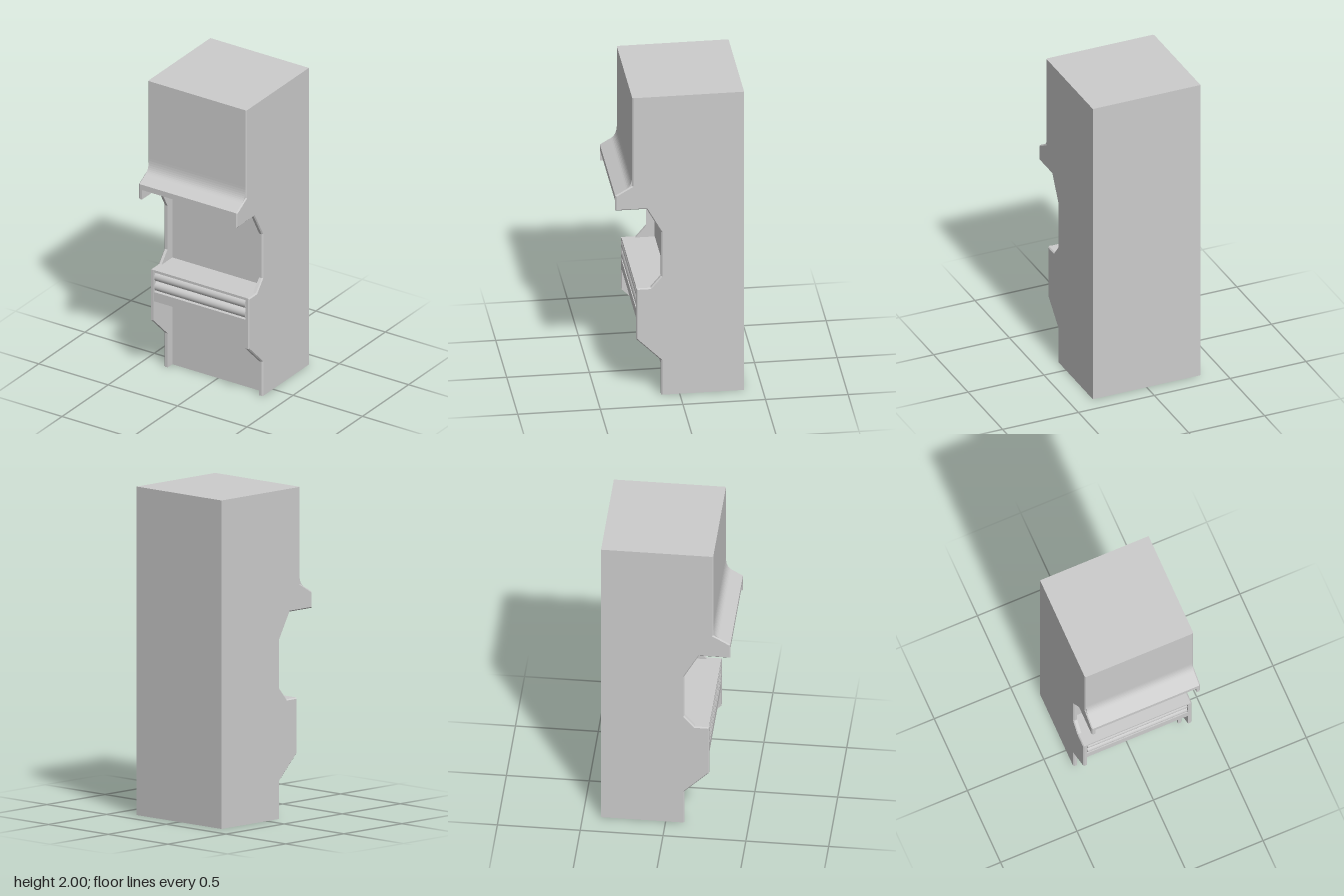
import * as THREE from 'three';

const material = new THREE.MeshStandardMaterial({ color: 0xcccccc, flatShading: true });
const smooth = new THREE.MeshStandardMaterial({ color: 0xcccccc });
const OUT = 0.355, BEVEL = 0.007, INNER = 0.33;

// Side outline as [z, y], counter-clockwise from the bottom back corner
const sideOutline = [
  [-0.39, 0], [0.112, 0], [0.112, 0.23], [0.262, 0.38], [0.262, 0.72], [0.175, 0.72],
  [0.112, 0.795], [0.112, 1.09], [0.2, 1.25], [0.39, 1.25], [0.39, 1.35],
  [0.287, 1.41], [0.287, 2], [-0.39, 2],
];

// Section between the two sides: kick panel, control shelf, screen panel, hood
const coreOutline = [
  [-0.39, 0], [0.06, 0], [0.06, 0.51], [0.26, 0.51], [0.26, 0.572], [0.23, 0.572],
  [0.23, 0.704], [0.26, 0.704], [0.26, 0.72], [0.06, 0.72], [0.06, 1.315],
  [0.39, 1.315], [0.39, 1.35], [0.287, 1.41], [0.287, 2], [-0.39, 2],
];

// Extrudes a [z, y] outline from x0 to x1
function slab(outline, x0, x1, steps = 1) {
  const shape = new THREE.Shape(outline.map(([z, y]) => new THREE.Vector2(z, y)));
  const geo = new THREE.ExtrudeGeometry(shape, { depth: x1 - x0, bevelEnabled: false, steps });
  return geo.rotateY(-Math.PI / 2).translate(x1, 0, 0);
}

// Moves the front corners of an outline inward by d, keeping top, bottom and back
function insetFront(outline, d) {
  const last = outline.length - 1;
  const normal = (a, b) => new THREE.Vector2(a[1] - b[1], b[0] - a[0]).normalize();
  return outline.map((p, i) => {
    if (i === 0 || i === last) return p;
    if (i === 1 || i === last - 1) return [p[0] - d, p[1]];
    const n1 = normal(outline[i - 1], p), n2 = normal(p, outline[i + 1]);
    const k = d / (1 + n1.dot(n2));
    return [p[0] + (n1.x + n2.x) * k, p[1] + (n1.y + n2.y) * k];
  });
}

// Side panel with its outer front edge chamfered
function sidePanel(sign) {
  const [x0, x1] = sign > 0 ? [INNER, OUT] : [-OUT, -INNER];
  const geo = slab(sideOutline, x0, x1, 2);
  const inset = insetFront(sideOutline, BEVEL);
  const pos = geo.attributes.position;
  for (let i = 0; i < pos.count; i++) {
    const x = Math.abs(pos.getX(i));
    if (x > OUT - 0.001) {
      const k = sideOutline.findIndex(([z, y]) =>
        Math.hypot(z - pos.getZ(i), y - pos.getY(i)) < 1e-4);
      pos.setZ(i, inset[k][0]);
      pos.setY(i, inset[k][1]);
    } else if (x > INNER + 0.001) {
      pos.setX(i, sign * (OUT - BEVEL));
    }
  }
  geo.computeVertexNormals();
  return geo;
}

export function createModel() {
  const model = new THREE.Group();
  const add = (name, geo, mat = material) => {
    const mesh = new THREE.Mesh(geo, mat);
    mesh.name = name;
    model.add(mesh);
    return mesh;
  };

  add('cabinetBody', slab(coreOutline, -INNER, INNER));
  add('leftSidePanel', sidePanel(1));
  add('rightSidePanel', sidePanel(-1));

  // Concave sweep where the upper front meets the hood
  const curve = new THREE.QuadraticBezierCurve(
    new THREE.Vector2(0.322, 1.39), new THREE.Vector2(0.287, 1.41), new THREE.Vector2(0.287, 1.48));
  const sweep = [[0.28, 1.39], ...curve.getPoints(8).map(p => [p.x, p.y]), [0.28, 1.48]];
  add('hoodSweep', slab(sweep, BEVEL - OUT, OUT - BEVEL));

  // Two horizontal rollers in the shelf recess
  for (const [name, y] of [['upperRoller', 0.67], ['lowerRoller', 0.605]]) {
    const roller = new THREE.CylinderGeometry(0.031, 0.031, INNER * 2 - 0.008, 32);
    add(name, roller.rotateZ(Math.PI / 2).translate(0, y, 0.231), smooth);
  }
  return model;
}
